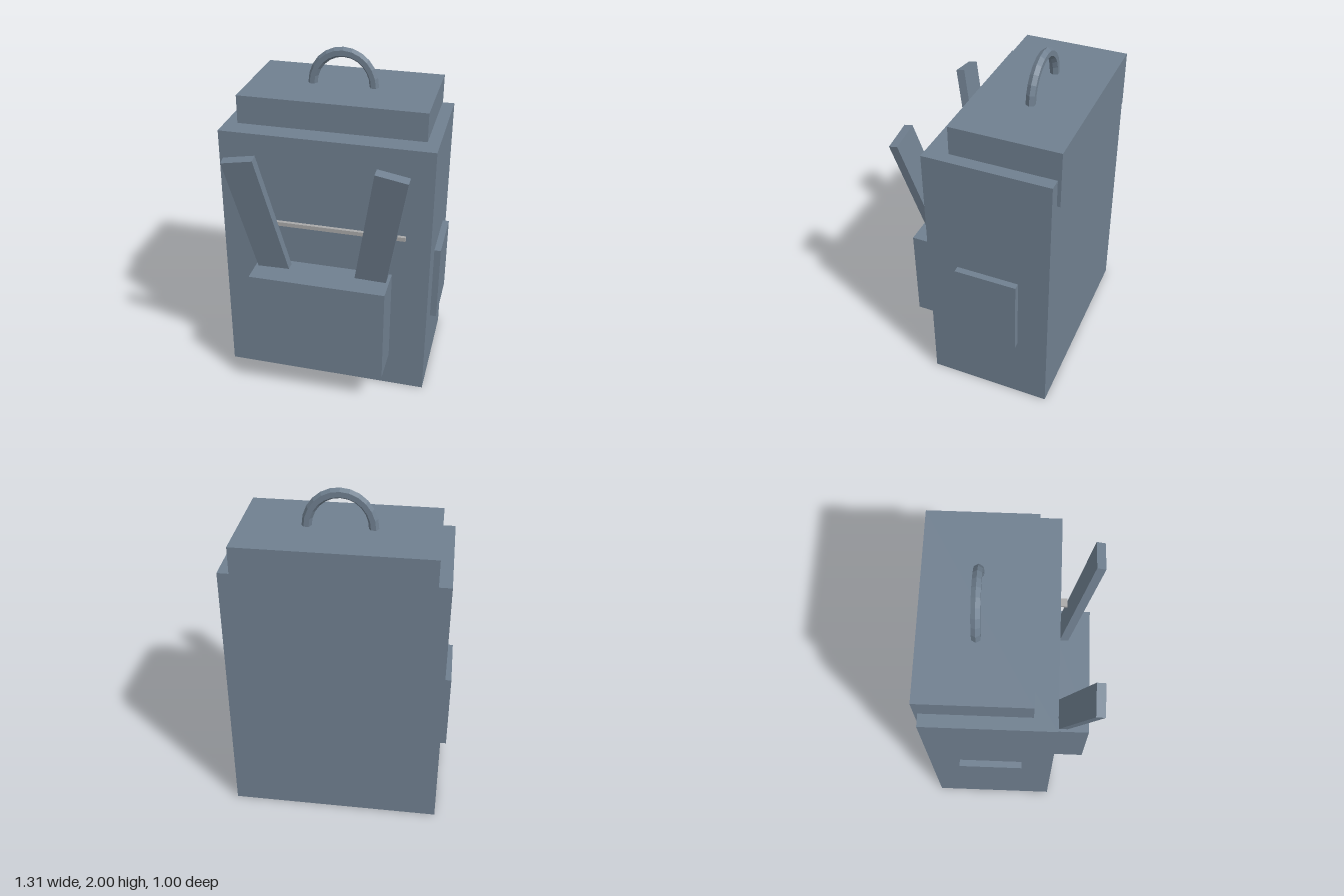
import * as THREE from 'three';

const fabric = new THREE.MeshStandardMaterial({ name: 'slate fabric', color: 0x708090, flatShading: true });
const metal = new THREE.MeshStandardMaterial({ name: 'zip grey', color: 0xa9a9a9, flatShading: true });

// Box given by its lower and upper corners
function box(name, [x0, y0, z0], [x1, y1, z1], material = fabric) {
  const mesh = new THREE.Mesh(new THREE.BoxGeometry(x1 - x0, y1 - y0, z1 - z0), material);
  mesh.position.set((x0 + x1) / 2, (y0 + y1) / 2, (z0 + z1) / 2);
  mesh.name = name;
  return mesh;
}

// Shoulder strap leaning outwards and forwards, its foot sunk in the front pocket
function strap(side) {
  const length = 1;
  const geometry = new THREE.BoxGeometry(0.183, length, 0.053);
  geometry.translate(0, -length / 2, 0);
  const mesh = new THREE.Mesh(geometry, fabric);
  mesh.position.set(side * 0.422, 1.553, 0.471);
  mesh.rotation.set(THREE.MathUtils.degToRad(12), 0, -side * THREE.MathUtils.degToRad(10), 'ZXY');
  mesh.name = side > 0 ? 'leftStrap' : 'rightStrap';
  return mesh;
}

export function createModel() {
  const pack = new THREE.Group();
  pack.name = 'backpack';

  // Main bag, lid with its back flap, and front pocket
  pack.add(box('body', [-0.617, 0, -0.48], [0.617, 1.607, 0.247]));
  pack.add(box('lid', [-0.546, 1.445, -0.5], [0.546, 1.774, 0.12]));
  pack.add(box('frontPocket', [-0.4, 0.22, 0.2], [0.4, 0.805, 0.469]));

  // Side pockets
  pack.add(box('leftPocket', [0.6, 0.424, -0.3], [0.655, 0.896, 0.066]));
  pack.add(box('rightPocket', [-0.655, 0.424, -0.3], [-0.6, 0.896, 0.066]));

  // Shoulder straps
  for (const side of [-1, 1]) pack.add(strap(side));

  // Zip and its pull tab
  pack.add(box('zip', [-0.473, 1.051, 0.24], [0.473, 1.075, 0.268], metal));
  pack.add(box('zipPull', [0.337, 1.011, 0.24], [0.389, 1.027, 0.314], metal));

  // Carrying handle: half ring with a six-sided section
  const handle = new THREE.Mesh(new THREE.TorusGeometry(0.182, 0.028, 6, 12, Math.PI), fabric);
  handle.position.set(0, 1.774, -0.19);
  handle.scale.y = 1.076;
  handle.name = 'handle';
  pack.add(handle);

  return pack;
}
